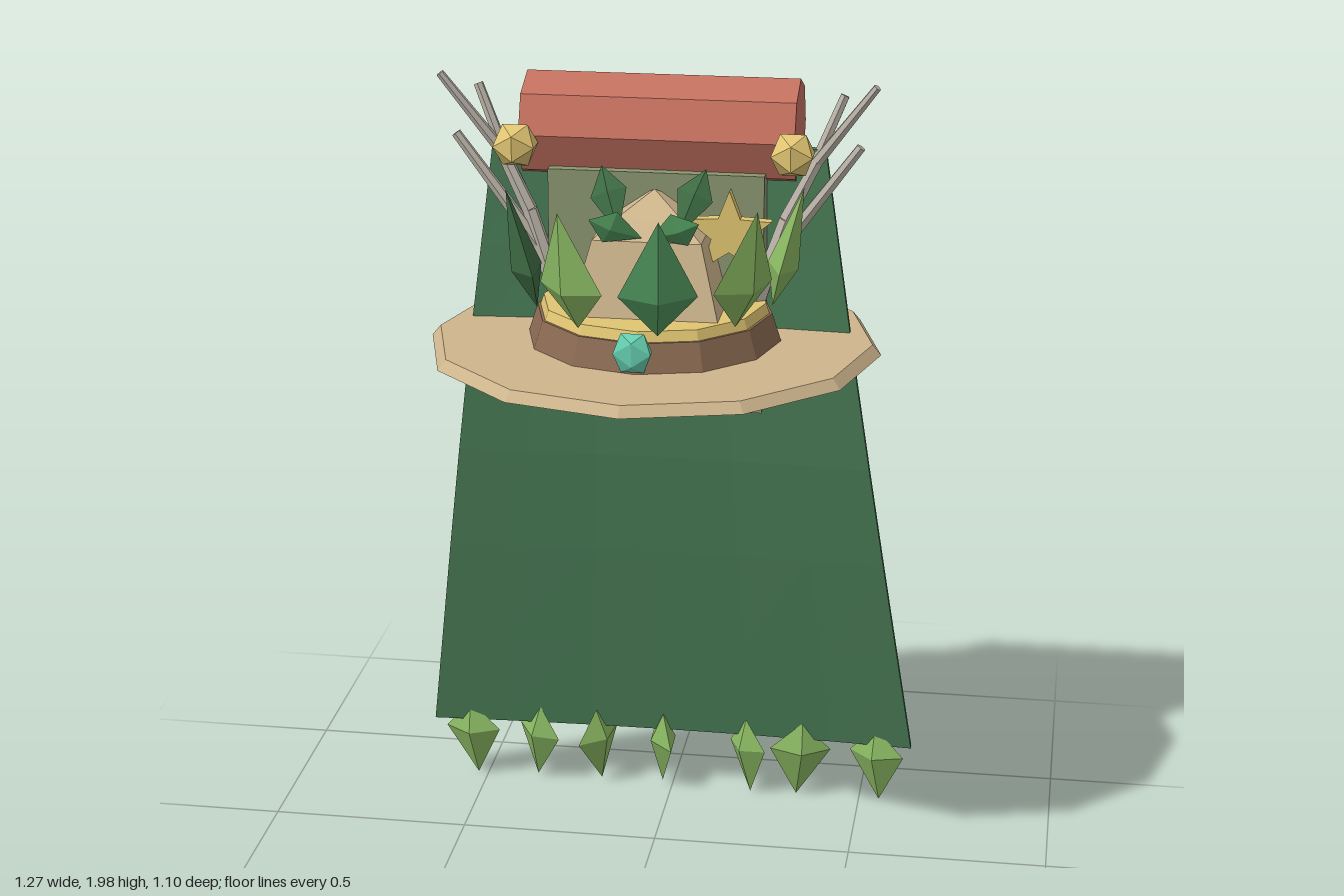
import * as THREE from 'three';

const mat = (color) => new THREE.MeshStandardMaterial({ color, flatShading: true });
const M = {
  cape: mat(0x4c8059), tan: mat(0xcdb48c), band: mat(0x8a6a52), gold: mat(0xe0c572),
  block: mat(0x8a956f), log: mat(0xc4705f), antler: mat(0xbab3a8), gem: mat(0x66d0b0),
  light: mat(0x8ab862), mid: mat(0x4f945b), dark: mat(0x3d6b43),
};
const V = (x, y, z) => new THREE.Vector3(x, y, z);

export function createModel() {
  const model = new THREE.Group();

  const add = (name, geo, material, x = 0, y = 0, z = 0, parent = model) => {
    const mesh = new THREE.Mesh(geo, material);
    mesh.name = name;
    mesh.position.set(x, y, z);
    parent.add(mesh);
    return mesh;
  };

  // Four-sided leaf along +y: base at 0, tip at len, widest point at a fraction of len
  const leafGeo = (len, w, t, widest = 0.35) => {
    const g = new THREE.CylinderGeometry(0, 1, len * (1 - widest), 4, 1, true).translate(0, len * (1 + widest) / 2, 0);
    const b = new THREE.CylinderGeometry(1, 0, len * widest, 4, 1, true).translate(0, len * widest / 2, 0);
    const out = new THREE.BufferGeometry();
    const pos = [...g.toNonIndexed().attributes.position.array, ...b.toNonIndexed().attributes.position.array];
    out.setAttribute('position', new THREE.Float32BufferAttribute(pos, 3));
    out.scale(w / 2, 1, t / 2);
    out.computeVertexNormals();
    return out;
  };

  // Tapered rod between two points
  const rod = (name, a, b, r0, r1, material, parent) => {
    const d = b.clone().sub(a);
    const m = add(name, new THREE.CylinderGeometry(r1, r0, d.length(), 6), material, 0, 0, 0, parent);
    m.position.copy(a).add(b).multiplyScalar(0.5);
    m.quaternion.setFromUnitVectors(V(0, 1, 0), d.normalize());
  };

  // Cape: flat box widened downwards, swept back and bulged along the middle
  const cape = new THREE.BoxGeometry(2, 1.65, 0.02, 6, 6, 1);
  const sweep = new THREE.SplineCurve([[0.18, -0.29], [0.6, -0.207], [0.9, -0.152],
    [1.2, -0.107], [1.4, -0.092], [1.83, -0.068]].map(([y, z]) => new THREE.Vector2(y, z)));
  const pts = sweep.getPoints(60);
  const capeZ = (y) => pts.reduce((p, q) => (Math.abs(q.x - y) < Math.abs(p.x - y) ? q : p)).y;
  const p = cape.attributes.position;
  for (let i = 0; i < p.count; i++) {
    const u = p.getX(i), y = p.getY(i) + 1.005;
    const bulge = 0.02 * (1 - u * u);
    p.setXYZ(i, u * THREE.MathUtils.mapLinear(y, 0.18, 1.83, 0.635, 0.4), y, capeZ(y) + p.getZ(i) - bulge);
  }
  cape.computeVertexNormals();
  add('cape', cape, M.cape);

  // Leaves hanging from the hem: x, width, turn
  [[-0.54, 0.15, 0.15], [-0.35, 0.13, 0.5], [-0.2, 0.14, -0.9], [-0.02, 0.13, 1.1],
    [0.2, 0.12, 0.6], [0.35, 0.16, -0.2], [0.54, 0.15, 0.3]].forEach(([x, w, turn], i) => {
    const leaf = add('hemLeaf', leafGeo(0.22, w, 0.07, 0.36), M.light, x, 0.23, -0.285);
    leaf.rotation.set(Math.PI + 0.14, turn, i % 2 ? 0.08 : -0.06);
  });

  // Hat: brim, band, gold ring and stepped square crown
  add('brim', new THREE.CylinderGeometry(0.527, 0.548, 0.025, 12), M.tan, 0, 1.36, 0);
  add('hatBand', new THREE.CylinderGeometry(0.285, 0.308, 0.07, 12), M.band, 0, 1.405, 0);
  add('goldRing', new THREE.CylinderGeometry(0.27, 0.28, 0.03, 12), M.gold, 0, 1.45, 0);
  const crownProfile = [[0.18, 1.45], [0.13, 1.64], [0.08, 1.68], [0, 1.735]]
    .map(([half, y]) => new THREE.Vector2(half * Math.SQRT2, y));
  const crown = add('crown', new THREE.LatheGeometry(crownProfile, 4), M.tan);
  crown.rotation.y = Math.PI / 4;

  // Gem on the band
  add('gem', new THREE.IcosahedronGeometry(1, 0).scale(0.052, 0.055, 0.026), M.gem, -0.005, 1.425, 0.308);

  // Ring of upright leaves around the hat
  const ringColors = ['mid', 'light', 'light', 'light', 'mid', 'light', 'mid', 'dark', 'light'];
  ringColors.forEach((color, i) => {
    const pivot = new THREE.Group();
    pivot.name = 'hatLeaf';
    pivot.rotation.y = THREE.MathUtils.degToRad(10 + i * 40);
    model.add(pivot);
    const leaf = add('leafBlade', leafGeo(0.3, 0.185, 0.075), M[color], 0, 1.46, 0.285, pivot);
    leaf.rotation.set(0.24, 0, 0);
  });

  // Star ornament beside the crown
  const star = new THREE.Shape();
  for (let i = 0; i < 10; i++) {
    const a = Math.PI / 2 + i * Math.PI / 5, r = i % 2 ? 0.045 : 0.105;
    star[i ? 'lineTo' : 'moveTo'](r * Math.cos(a), r * Math.sin(a));
  }
  add('star', new THREE.ExtrudeGeometry(star, { depth: 0.03, bevelEnabled: false }), M.gold, 0.185, 1.645, 0.02);

  // Stone block with its rear step, and the eight-sided log on top
  add('block', new THREE.BoxGeometry(0.52, 0.59, 0.245), M.block, 0, 1.475, -0.1375);
  add('rearStep', new THREE.BoxGeometry(0.36, 0.26, 0.08), M.block, 0, 1.39, -0.29);
  const log = add('log', new THREE.CylinderGeometry(0.13, 0.13, 0.66, 8), M.log, 0, 1.85, -0.14);
  log.rotation.set(Math.PI / 2, 0, Math.PI / 2);
  log.geometry.rotateY(Math.PI / 2);

  for (const s of [1, -1]) {
    // Branching antlers
    const antler = new THREE.Group();
    antler.name = s > 0 ? 'leftAntler' : 'rightAntler';
    model.add(antler);
    const at = (x, y, z) => V(s * x, y, z);
    const branch = (a, b, r0, r1) => rod('antlerBranch', at(...a), at(...b), r0, r1, M.antler, antler);
    branch([0.24, 1.45, -0.03], [0.31, 1.66, -0.045], 0.024, 0.019);
    branch([0.31, 1.66, -0.045], [0.38, 1.8, -0.06], 0.019, 0.015);
    branch([0.38, 1.8, -0.06], [0.52, 1.99, -0.03], 0.015, 0.01);
    branch([0.27, 1.55, -0.04], [0.485, 1.845, -0.035], 0.018, 0.012);
    branch([0.36, 1.76, -0.06], [0.44, 1.955, -0.09], 0.015, 0.012);

    // Gold ball hung at the log end
    add('goldBall', new THREE.IcosahedronGeometry(0.058, 0), M.gold, s * 0.33, 1.835, 0.022);

    // Small leaves wreathing the crown top
    [[[0.01, 1.65, 0.13], [0.13, 1.7, 0.17], 'mid'], [[0.07, 1.65, 0.1], [0.125, 1.79, 0.01], 'dark']]
      .forEach(([a, b, color]) => {
        const from = at(...a), d = at(...b).sub(from);
        const leaf = add('crownLeaf', leafGeo(d.length(), 0.09, 0.03, 0.6), M[color], from.x, from.y, from.z);
        leaf.quaternion.setFromUnitVectors(V(0, 1, 0), d.normalize());
      });
  }

  return model;
}
